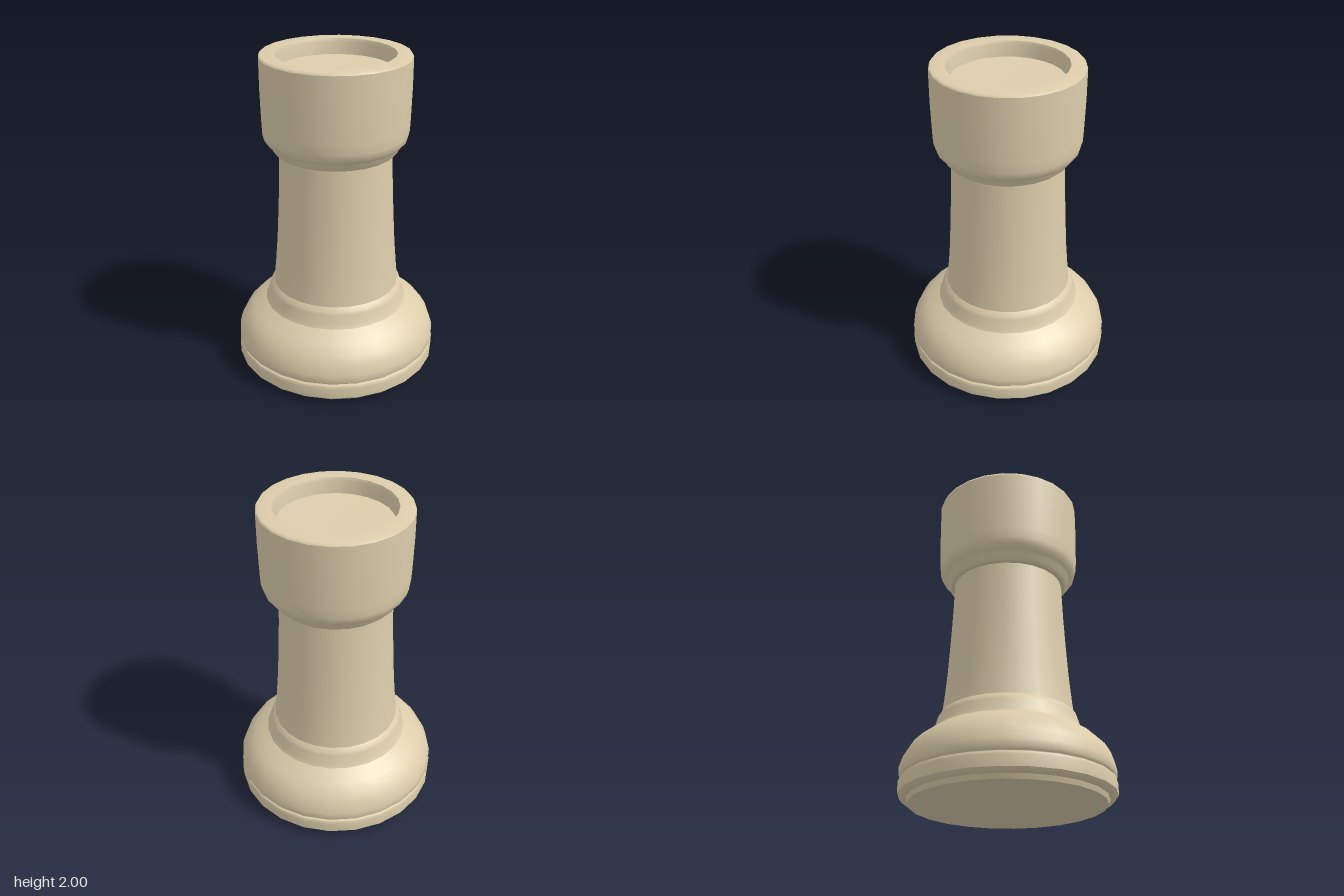
import * as THREE from 'three';

const SIDES = 24;

export function createModel() {
  const model = new THREE.Group();
  model.name = 'rook';
  const ivory = new THREE.MeshStandardMaterial({ color: 0xdccdab });
  ivory.name = 'ivory';

  // Each part is turned from a bottom-to-top profile of [radius, height];
  // separate parts keep the edges between them sharp.
  const turn = (name, profile) => {
    const points = profile.map(([r, y]) => new THREE.Vector2(r, y));
    const mesh = new THREE.Mesh(new THREE.LatheGeometry(points, SIDES), ivory);
    mesh.name = name;
    model.add(mesh);
  };

  // Foot
  turn('underside', [[0, 0], [0.575, 0]]);
  turn('footStep', [[0.575, 0], [0.585, 0.028]]);
  turn('footLedge', [[0.585, 0.028], [0.61, 0.028], [0.632, 0.05]]);
  turn('footRing', [[0.632, 0.05], [0.634, 0.115], [0.625, 0.132]]);
  turn('footGroove', [[0.625, 0.132], [0.61, 0.137], [0.618, 0.142]]);

  // Rounded base and the small collar above it
  turn('base', [
    [0.618, 0.142], [0.631, 0.155], [0.631, 0.2], [0.612, 0.26], [0.58, 0.315],
    [0.53, 0.365], [0.45, 0.42],
  ]);
  turn('baseCollar', [[0.45, 0.42], [0.437, 0.445], [0.422, 0.5], [0.415, 0.52], [0.395, 0.543]]);

  // Tapering tower
  turn('shaft', [
    [0.395, 0.543], [0.385, 0.63], [0.37, 0.8], [0.358, 1], [0.348, 1.2], [0.341, 1.41],
  ]);

  // Neck moulding and turret
  turn('neckUnderside', [[0.341, 1.41], [0.362, 1.413]]);
  turn('neckRing', [[0.362, 1.413], [0.38, 1.43], [0.388, 1.455], [0.405, 1.472]]);
  turn('turret', [
    [0.405, 1.472], [0.428, 1.495], [0.439, 1.535], [0.442, 1.6], [0.447, 1.8], [0.447, 1.985],
  ]);
  turn('rim', [[0.447, 1.985], [0.438, 2], [0.355, 2]]);
  turn('innerWall', [[0.355, 2], [0.347, 1.98], [0.338, 1.905]]);
  turn('turretFloor', [[0.338, 1.905], [0, 1.9]]);

  return model;
}
